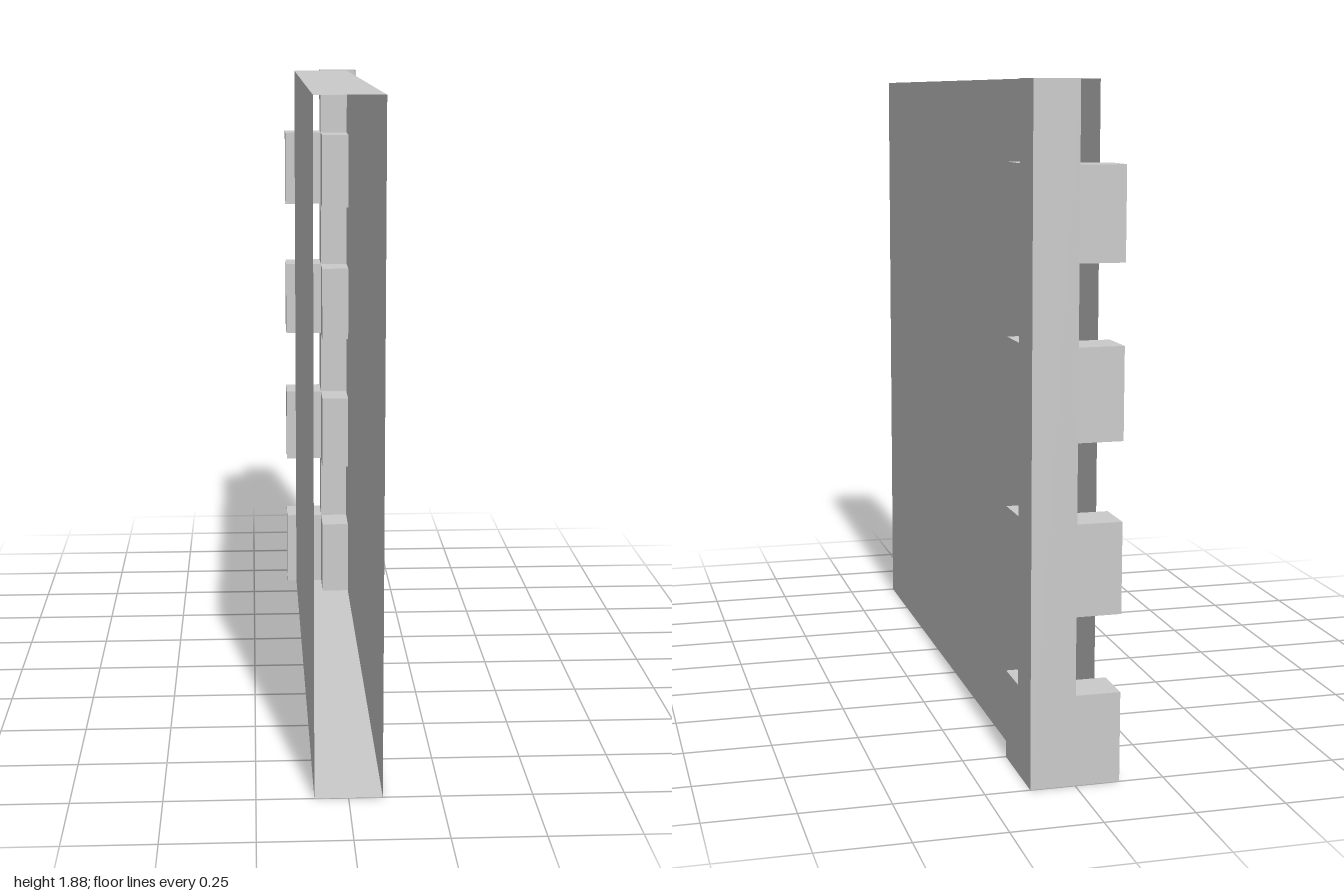
import * as THREE from 'three';

const FACES = ['+x', '-x', '+y', '-y', '+z', '-z'];
const material = new THREE.MeshStandardMaterial({ color: 0xcccccc, side: THREE.DoubleSide });

// Box between two corners, leaving out the listed open faces
function shell(name, min, max, open) {
  const size = max.map((v, i) => v - min[i]);
  const geometry = new THREE.BoxGeometry(...size);
  const index = Array.from(geometry.index.array);
  geometry.setIndex(FACES.flatMap((f, i) => (open.includes(f) ? [] : index.slice(i * 6, i * 6 + 6))));
  geometry.clearGroups();
  const mesh = new THREE.Mesh(geometry, material);
  mesh.name = name;
  mesh.position.set(...max.map((v, i) => (v + min[i]) / 2));
  return mesh;
}

export function createModel() {
  const group = new THREE.Group();
  group.name = 'wallWithCornerQuoins';
  const H = 1.875, wall = 0.0925, q = 0.125;
  const zBack = -1, zJoint = zBack + q;

  // Hollow wall panel, open at both ends
  group.add(shell('wallPanel', [-wall, 0, zJoint], [wall, H, 1], ['+z', '-z']));

  // Corner post, open at the top
  group.add(shell('cornerPost', [0, 0, zBack], [q, H, zJoint], ['+y']));

  // Alternating blocks reaching out along both sides of the corner
  const pitch = H / 4, blockHeight = 0.252;
  for (let i = 0; i < 4; i++) {
    const y0 = i * pitch, y1 = y0 + blockHeight;
    group.add(shell('backQuoin', [-q, y0, zBack], [0, y1, zJoint], ['+x']));
    group.add(shell('sideQuoin', [0, y0, zJoint], [q, y1, zJoint + q], ['-z']));
  }
  return group;
}
